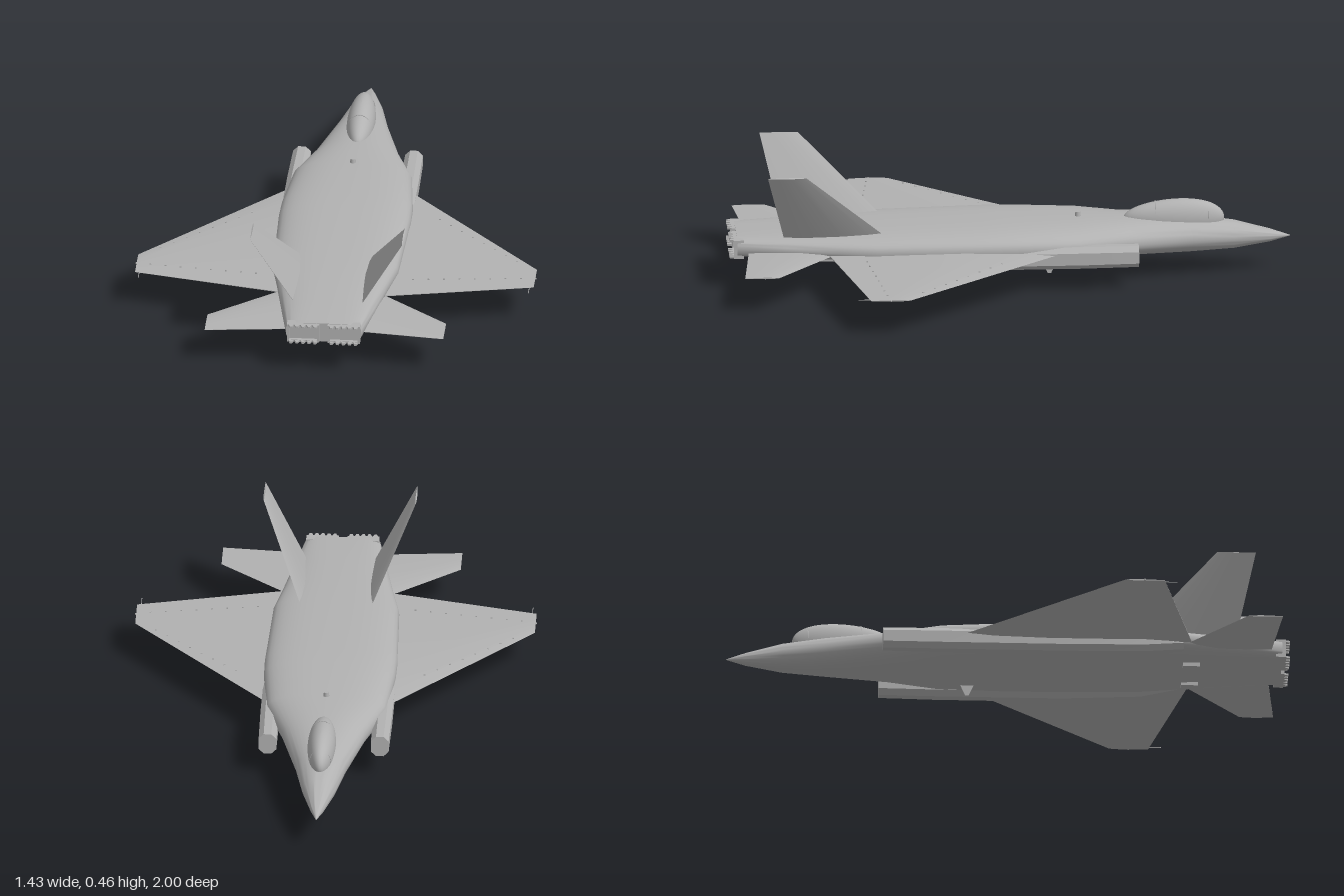
import * as THREE from 'three';
import { toCreasedNormals } from 'three/addons/utils/BufferGeometryUtils.js';

const grey = new THREE.MeshStandardMaterial({ color: 0xb2b2b2 });
grey.name = 'airframe grey';

// Skin a list of equal-length rings, close both ends and face it outwards
function loft(rings, crease = 0.6) {
  const n = rings[0].length, tris = [];
  for (let i = 0; i < rings.length - 1; i++) {
    for (let j = 0; j < n; j++) {
      const k = (j + 1) % n;
      const a = rings[i][j], b = rings[i][k], c = rings[i + 1][k], d = rings[i + 1][j];
      tris.push([a, b, c], [a, c, d]);
    }
  }
  for (const [ring, flip] of [[rings[0], true], [rings[rings.length - 1], false]]) {
    const mid = ring.reduce((s, p) => s.add(p), new THREE.Vector3()).divideScalar(n);
    ring.forEach((p, j) => {
      const q = ring[(j + 1) % n];
      tris.push(flip ? [mid, q, p] : [mid, p, q]);
    });
  }
  const volume = tris.reduce((s, [a, b, c]) => s + a.dot(b.clone().cross(c)), 0);
  const points = tris.flatMap(t => (volume < 0 ? [t[0], t[2], t[1]] : t));
  return toCreasedNormals(new THREE.BufferGeometry().setFromPoints(points), crease);
}

// Thin aerofoil panel between a root chord and a tip chord
function panel(rootLE, rootTE, tipLE, tipTE, rootThick, tipThick) {
  const foil = [[0, 0], [0.12, 0.6], [0.4, 1], [0.7, 0.65], [1, 0.08], [1, -0.08], [0.7, -0.65], [0.4, -1], [0.12, -0.6]];
  const le = [new THREE.Vector3(...rootLE), new THREE.Vector3(...tipLE)];
  const te = [new THREE.Vector3(...rootTE), new THREE.Vector3(...tipTE)];
  const side = te[0].clone().sub(le[0]).cross(le[1].clone().sub(le[0])).normalize();
  return loft([0, 1].map(i => foil.map(([t, h]) =>
    le[i].clone().lerp(te[i], t).addScaledVector(side, h * (i ? tipThick : rootThick) / 2))));
}

// Fuselage cross-section: flatter above, rounder below
function hullRing([z, w, top, bottom, power], segments = 40) {
  const mid = (top + bottom) / 2;
  return Array.from({ length: segments }, (_, i) => {
    const a = i / segments * Math.PI * 2, c = Math.cos(a), s = Math.sin(a);
    const e = 2 / (s > 0 ? power : Math.max(2, power - 0.5));
    return new THREE.Vector3(
      Math.sign(c) * w * Math.abs(c) ** e,
      mid + Math.sign(s) * (top - bottom) / 2 * Math.abs(s) ** e, z);
  });
}

function add(parent, name, geometry, x = 0, y = 0, z = 0) {
  const mesh = new THREE.Mesh(geometry, grey);
  mesh.name = name;
  mesh.position.set(x, y, z);
  parent.add(mesh);
  return mesh;
}

function rectangle(Type, x0, y0, x1, y1) {
  const r = new Type();
  r.moveTo(x0, y0); r.lineTo(x1, y0); r.lineTo(x1, y1); r.lineTo(x0, y1); r.closePath();
  return r;
}

// Everything that exists once on each side, built for +x
function buildSide(name) {
  const side = new THREE.Group();
  side.name = name;

  add(side, 'wing', panel([0.19, 0.138, -0.2], [0.19, 0.138, 0.648], [0.71, 0.135, 0.39], [0.71, 0.135, 0.53], 0.032, 0.006));
  add(side, 'tailplane', panel([0.13, 0.137, 0.59], [0.13, 0.137, 0.932], [0.425, 0.135, 0.84], [0.425, 0.135, 0.962], 0.022, 0.006));
  add(side, 'tailFin', panel([0.125, 0.19, 0.45], [0.125, 0.19, 0.808], [0.27, 0.455, 0.735], [0.27, 0.455, 0.872], 0.02, 0.006));

  // Chamfered intake duct along the flank, fading into the hull
  const duct = [[-0.45, 0.168, 0.231, 0.085, 0.163], [-0.25, 0.168, 0.234, 0.083, 0.163],
    [0.2, 0.168, 0.234, 0.083, 0.16], [0.48, 0.16, 0.222, 0.092, 0.155], [0.62, 0.14, 0.195, 0.115, 0.15]];
  add(side, 'intakeDuct', loft(duct.map(([z, x0, x1, y0, y1]) => {
    const c = 0.018;
    return [[x0 + c, y0], [x1 - c, y0], [x1, y0 + c], [x1, y1 - c], [x1 - c, y1], [x0 + c, y1], [x0, y1 - c], [x0, y0 + c]]
      .map(([x, y]) => new THREE.Vector3(x, y, z));
  }), 0.5));

  // Rectangular exhaust with toothed lips
  const frame = rectangle(THREE.Shape, 0.015, 0.114, 0.13, 0.182);
  frame.holes.push(rectangle(THREE.Path, 0.023, 0.122, 0.122, 0.174));
  add(side, 'exhaustFrame', new THREE.ExtrudeGeometry(frame, { depth: 0.035, bevelEnabled: false }), 0, 0, 0.95);
  const tooth = new THREE.Shape([[-0.009, 0], [0.009, 0], [0.004, 0.016], [-0.004, 0.016]].map(p => new THREE.Vector2(...p)));
  const toothGeometry = new THREE.ExtrudeGeometry(tooth, { depth: 0.007, bevelEnabled: false }).rotateX(Math.PI / 2);
  for (const y of [0.182, 0.121]) {
    for (let i = 0; i < 5; i++) add(side, 'exhaustTooth', toothGeometry, 0.029 + i * 0.0215, y, 0.984);
  }

  // Hinge studs along the wing edges
  const stud = new THREE.BoxGeometry(0.006, 0.005, 0.006);
  for (let i = 0; i < 8; i++) {
    const t = i / 7;
    add(side, 'leadingStud', stud, 0.335 + 0.3 * t, 0.145 - 0.006 * t, 0.045 + 0.295 * t);
    add(side, 'flapStud', stud, 0.28 + 0.38 * t, 0.145 - 0.006 * t, 0.52 - 0.05 * t);
  }

  // Wingtip light and static wick
  add(side, 'wingtipLight', new THREE.SphereGeometry(0.004, 8, 6), 0.711, 0.135, 0.46);
  add(side, 'staticWick', new THREE.BoxGeometry(0.002, 0.002, 0.045), 0.695, 0.135, 0.553);

  // Small fairing under the tail
  add(side, 'bellyFairing', new THREE.BoxGeometry(0.03, 0.025, 0.06), 0.08, 0.1, 0.65);
  return side;
}

export function createModel() {
  const model = new THREE.Group();
  model.name = 'jetAircraft';

  // Fuselage stations: z, half width, top, bottom, squareness
  const stations = [
    [-1, 0.001, 0.126, 0.124, 2], [-0.93, 0.024, 0.15, 0.105, 2], [-0.8, 0.06, 0.184, 0.085, 2],
    [-0.65, 0.09, 0.202, 0.078, 2.1], [-0.42, 0.15, 0.209, 0.078, 2.3], [-0.24, 0.213, 0.212, 0.079, 2.6],
    [0, 0.234, 0.214, 0.083, 2.8], [0.1, 0.236, 0.213, 0.084, 2.8], [0.48, 0.224, 0.205, 0.09, 2.8],
    [0.62, 0.197, 0.2, 0.096, 2.8], [0.8, 0.166, 0.193, 0.104, 3], [0.972, 0.134, 0.184, 0.113, 4.5]];
  add(model, 'fuselage', loft(stations.map(s => hullRing(s)), 0.8));

  // Bubble canopy, fuller towards the nose, with two frame hoops
  const canopy = new THREE.SphereGeometry(1, 32, 24).scale(0.05, 0.07, 0.18);
  const p = canopy.attributes.position;
  for (let i = 0; i < p.count; i++) p.setZ(i, p.getZ(i) - 0.03 * (p.getY(i) / 0.07) ** 2);
  canopy.computeVertexNormals();
  add(model, 'canopy', canopy, 0, 0.198, -0.585);
  for (const [z, w, h] of [[-0.71, 0.0385, 0.049], [-0.52, 0.0445, 0.063]]) {
    const hoop = add(model, 'canopyFrame', new THREE.TorusGeometry(1, 0.03, 6, 24, Math.PI), 0, 0.198, z);
    hoop.scale.set(w, h, 0.07);
  }

  // Dorsal beacon and belly blade
  add(model, 'beacon', new THREE.CylinderGeometry(0.009, 0.011, 0.02, 12), 0, 0.217, -0.245);
  const blade = new THREE.Shape([[0.12, 0.04], [0.167, 0.04], [0.15, 0], [0.138, 0]].map(q => new THREE.Vector2(...q)));
  add(model, 'bellyBlade', new THREE.ExtrudeGeometry(blade, { depth: 0.005, bevelEnabled: false })
    .translate(0, 0, -0.0025).rotateY(Math.PI / 2));

  // Mirrored halves
  const left = buildSide('leftSide'), right = buildSide('rightSide');
  right.scale.x = -1;
  model.add(left, right);
  return model;
}
